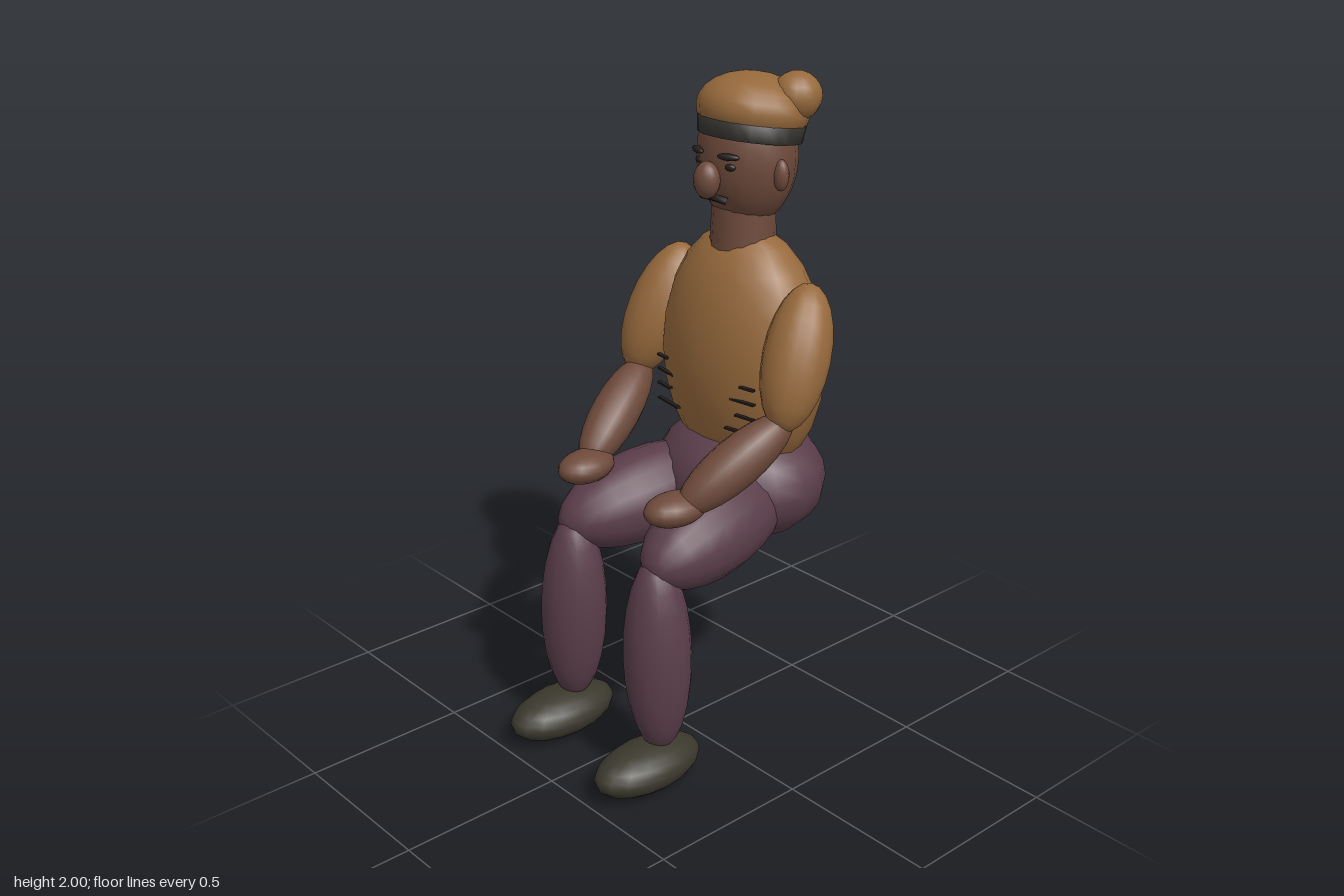
import * as THREE from 'three';

const mat = (name, color) => {
  const m = new THREE.MeshStandardMaterial({ color });
  m.name = name;
  return m;
};

export function createModel() {
  const model = new THREE.Group();
  model.name = 'seatedFigure';

  const skin = mat('brown skin', 0x6e4a3b);
  const knit = mat('ochre knit', 0x96693c);
  const trousers = mat('plum trousers', 0x5b3e4b);
  const leather = mat('dark olive shoes', 0x3b382d);
  const bandMat = mat('charcoal band', 0x35332f);
  const ink = mat('dark hair', 0x231f1d);

  const ball = new THREE.SphereGeometry(1, 16, 12);
  const up = new THREE.Vector3(0, 1, 0);

  const add = (name, geometry, material, pos) => {
    const mesh = new THREE.Mesh(geometry, material);
    mesh.name = name;
    mesh.position.set(...pos);
    model.add(mesh);
    return mesh;
  };

  // Axis-aligned ellipsoid
  const blob = (name, material, pos, radii) => {
    const mesh = add(name, ball, material, pos);
    mesh.scale.set(...radii);
    return mesh;
  };

  // Ellipsoid limb stretched between two end points
  const limb = (name, material, a, b, r) => {
    const A = new THREE.Vector3(...a), B = new THREE.Vector3(...b);
    const dir = B.clone().sub(A);
    const mid = A.clone().add(B).multiplyScalar(0.5);
    const mesh = blob(name, material, mid.toArray(), [r, dir.length() / 2, r]);
    mesh.quaternion.setFromUnitVectors(up, dir.normalize());
    return mesh;
  };

  // Body
  blob('pelvis', trousers, [0, 0.785, -0.248], [0.28, 0.19, 0.24]);
  blob('torso', knit, [0, 1.17, -0.255], [0.285, 0.39, 0.195]);
  add('neck', new THREE.CylinderGeometry(0.09, 0.098, 0.16, 16), skin, [0, 1.56, -0.248]);

  // Head
  blob('head', skin, [0, 1.755, -0.26], [0.15, 0.2, 0.142]);
  blob('nose', skin, [0, 1.71, -0.105], [0.04, 0.053, 0.037]);

  // Moustache with drooping ends
  const droop = new THREE.QuadraticBezierCurve3(
    new THREE.Vector3(-0.05, 1.652, -0.136),
    new THREE.Vector3(0, 1.668, -0.106),
    new THREE.Vector3(0.05, 1.652, -0.136));
  add('moustache', new THREE.TubeGeometry(droop, 10, 0.011, 6), ink, [0, 0, 0]);

  // Knitted cap tilted backwards: open dome, band and pompom
  const cap = new THREE.Group();
  cap.name = 'cap';
  cap.position.set(0, 1.885, -0.28);
  cap.rotation.x = -0.15;
  model.add(cap);
  const dome = new THREE.Mesh(ball, knit);
  dome.name = 'capDome';
  dome.scale.set(0.165, 0.105, 0.16);
  const bandProfile = [[0.135, -0.078], [0.152, -0.078], [0.158, -0.03], [0.135, -0.03], [0.135, -0.078]]
    .map(([x, y]) => new THREE.Vector2(x, y));
  const band = new THREE.Mesh(new THREE.LatheGeometry(bandProfile, 24), bandMat);
  band.name = 'capBand';
  band.scale.z = 0.97;
  cap.add(dome, band);
  blob('pompom', knit, [0.108, 1.929, -0.342], [0.07, 0.07, 0.075]);

  // Mirrored parts
  for (const s of [1, -1]) {
    const side = s > 0 ? 'left' : 'right';

    // Face
    blob(side + 'Ear', skin, [s * 0.148, 1.727, -0.248], [0.024, 0.045, 0.022]);
    const eye = blob(side + 'Eye', ink, [s * 0.064, 1.752, -0.133], [0.016, 0.01, 0.008]);
    eye.rotation.y = s * 0.4;
    const brow = blob(side + 'Eyebrow', ink, [s * 0.062, 1.782, -0.127], [0.034, 0.01, 0.012]);
    brow.rotation.y = s * 0.4;

    // Arm
    limb(side + 'Sleeve', knit, [s * 0.262, 1.44, -0.263], [s * 0.318, 1.05, -0.102], 0.097);
    limb(side + 'Forearm', skin, [s * 0.312, 1.085, -0.145], [s * 0.208, 0.855, 0.185], 0.073);
    const hand = blob(side + 'Hand', skin, [s * 0.197, 0.862, 0.188], [0.068, 0.048, 0.098]);
    hand.rotation.y = -s * 0.12;

    // Leg
    limb(side + 'Thigh', trousers, [s * 0.11, 0.775, -0.285], [s * 0.2, 0.69, 0.285], 0.14);
    limb(side + 'Shin', trousers, [s * 0.183, 0.725, 0.25], [s * 0.2, 0.11, 0.252], 0.1);
    blob(side + 'Shoe', leather, [s * 0.2, 0.075, 0.3], [0.1, 0.072, 0.185]);

    // Sweater fold lines
    [[1.0, 0.1], [1.05, 0.14], [1.095, 0.12], [1.14, 0.155]].forEach(([y, inner], i) => {
      const fold = add(side + 'Fold' + (i + 1), new THREE.BoxGeometry(0.205 - inner, 0.006, 0.012),
        ink, [s * (0.205 + inner) / 2, y, -0.098]);
      fold.rotation.y = s * 0.15;
    });
  }
  return model;
}
